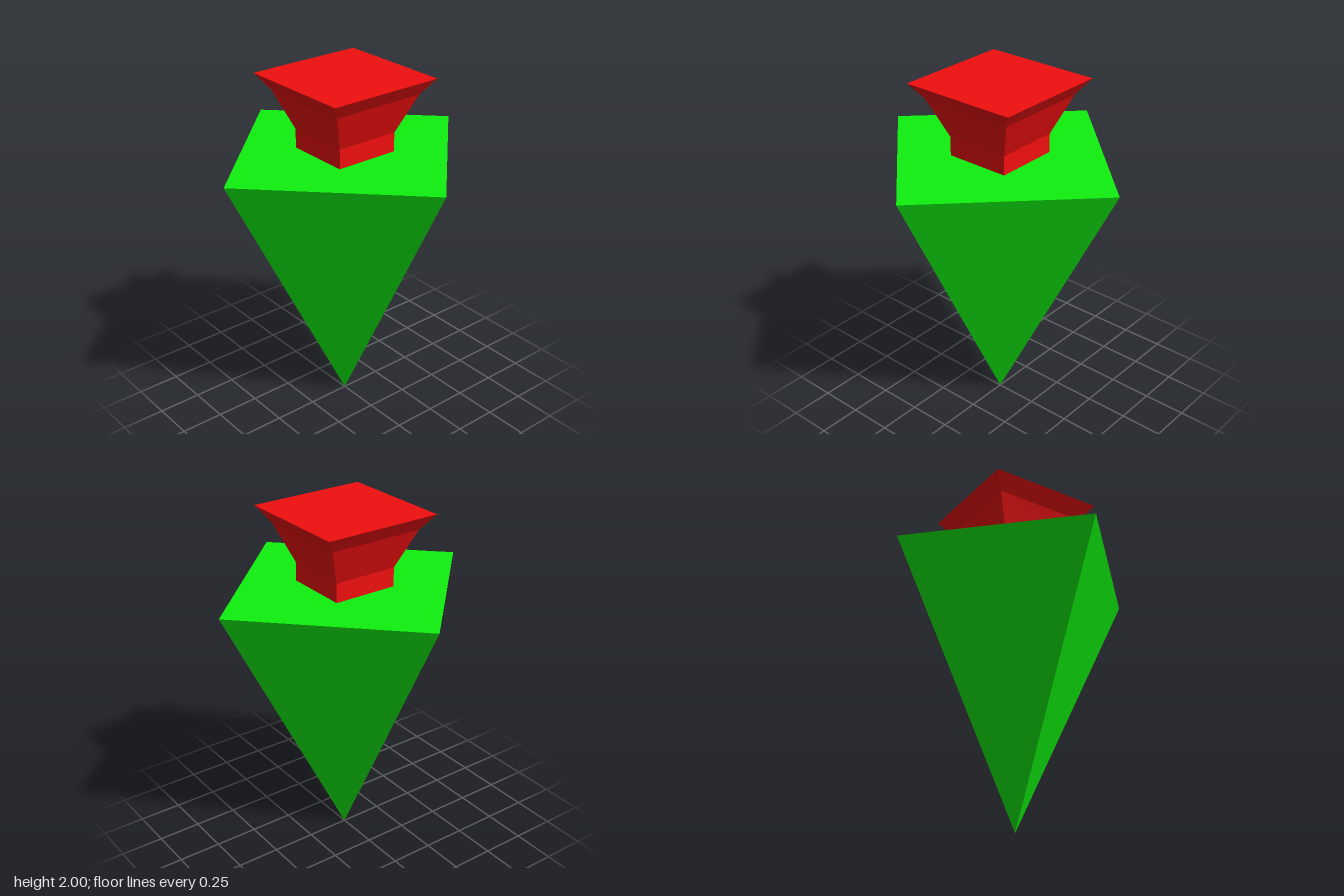
import * as THREE from 'three';

const BODY_TOP = 1.58;

function paint(color) {
  return new THREE.MeshStandardMaterial({ color, flatShading: true });
}

export function createModel() {
  const group = new THREE.Group();

  // Inverted four-sided pyramid, corners on the x and z axes
  const body = new THREE.Mesh(
    new THREE.CylinderGeometry(0.79, 0, BODY_TOP, 4),
    paint(0x0ff00f)
  );
  body.name = 'pyramidBody';
  body.position.y = BODY_TOP / 2;
  group.add(body);

  // Square flared cap: [half width, height] from the neck up to the flat top
  const profile = [[0.19, BODY_TOP], [0.19, 1.69], [0.28, 1.91], [0.345, 2], [0, 2]]
    .map(([half, y]) => new THREE.Vector2(half * Math.SQRT2, y));
  const cap = new THREE.Mesh(
    new THREE.LatheGeometry(profile, 4, Math.PI / 4),
    paint(0xf00f0f)
  );
  cap.name = 'flaredCap';
  group.add(cap);

  return group;
}
